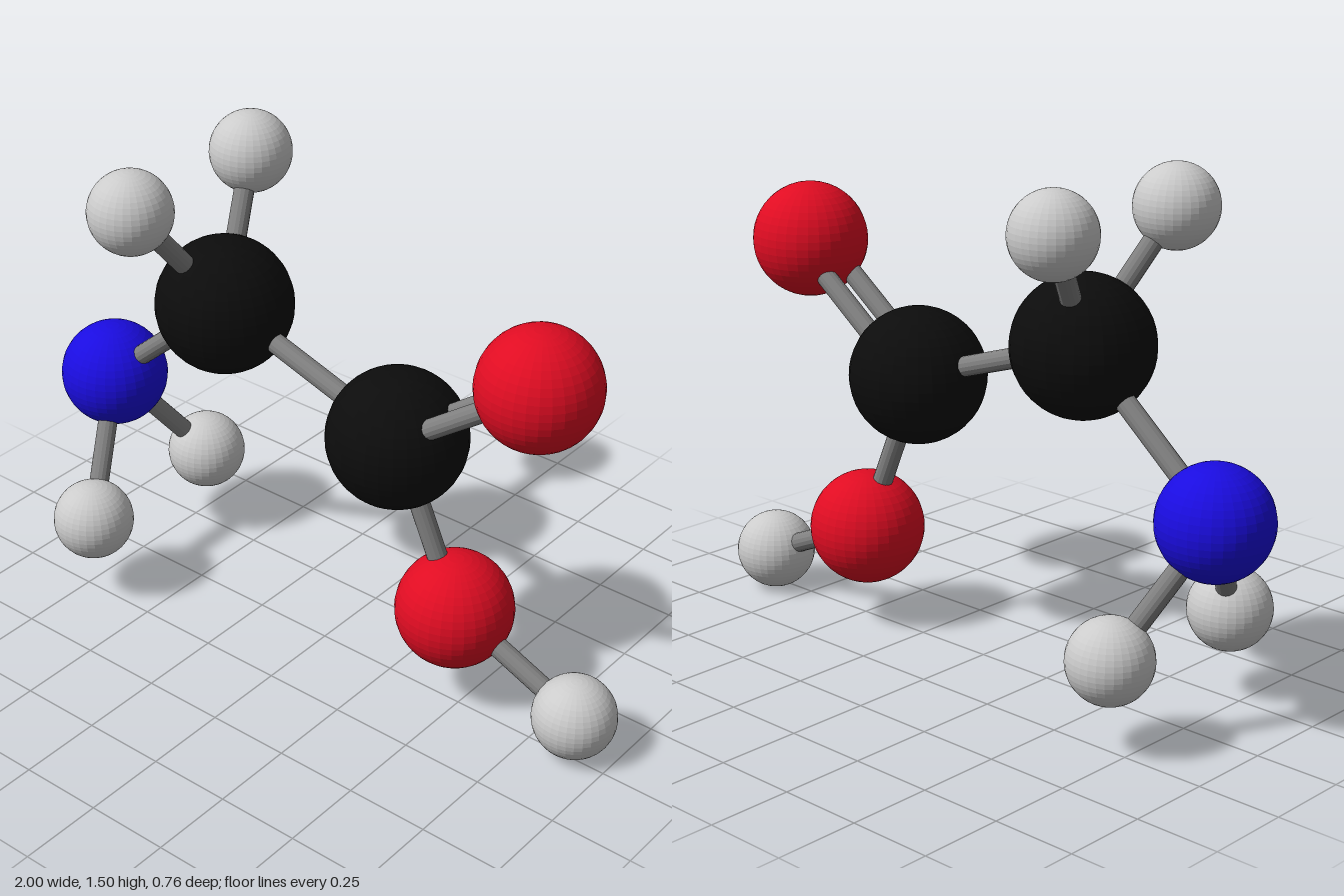
import * as THREE from 'three';

const material = (color) => new THREE.MeshStandardMaterial({ color, flatShading: true });

// Radius and colour of each kind of atom
const KINDS = {
  carbon: { r: 0.203, mat: material(0x0c0c0c) },
  nitrogen: { r: 0.163, mat: material(0x1a0ce0) },
  oxygen: { r: 0.173, mat: material(0xe00c22) },
  hydrogen: { r: 0.122, mat: material(0xcccccc) },
};
const bondMaterial = material(0x808080);

// name: [kind, x, y, z]
const ATOMS = {
  amineCarbon: ['carbon', -0.376, 1.013, -0.005],
  acidCarbon: ['carbon', 0.256, 0.81, -0.005],
  amineNitrogen: ['nitrogen', -0.838, 0.618, -0.003],
  doubleOxygen: ['oxygen', 0.719, 1.146, 0.004],
  hydroxylOxygen: ['oxygen', 0.454, 0.302, -0.03],
  hydroxylHydrogen: ['hydrogen', 0.876, 0.123, -0.03],
  carbonHydrogenFront: ['hydrogen', -0.478, 1.374, 0.258],
  carbonHydrogenBack: ['hydrogen', -0.486, 1.374, -0.256],
  nitrogenHydrogenFront: ['hydrogen', -0.701, 0.266, 0.258],
  nitrogenHydrogenBack: ['hydrogen', -0.701, 0.266, -0.259],
};

// Pairs of joined atoms; the last value is the number of rods
const BONDS = [
  ['amineCarbon', 'acidCarbon', 1],
  ['amineCarbon', 'amineNitrogen', 1],
  ['amineCarbon', 'carbonHydrogenFront', 1],
  ['amineCarbon', 'carbonHydrogenBack', 1],
  ['amineNitrogen', 'nitrogenHydrogenFront', 1],
  ['amineNitrogen', 'nitrogenHydrogenBack', 1],
  ['acidCarbon', 'doubleOxygen', 2],
  ['acidCarbon', 'hydroxylOxygen', 1],
  ['hydroxylOxygen', 'hydroxylHydrogen', 1],
];

const UP = new THREE.Vector3(0, 1, 0);
const BOND_RADIUS = 0.03;
const DOUBLE_OFFSET = 0.051;

const position = (name) => new THREE.Vector3(...ATOMS[name].slice(1));

// Rod running from a to b
function rod(a, b, name) {
  const dir = b.clone().sub(a);
  const mesh = new THREE.Mesh(
    new THREE.CylinderGeometry(BOND_RADIUS, BOND_RADIUS, dir.length(), 16), bondMaterial);
  mesh.position.copy(a).lerp(b, 0.5);
  mesh.quaternion.setFromUnitVectors(UP, dir.normalize());
  mesh.name = name;
  return mesh;
}

export function createModel() {
  const model = new THREE.Group();
  model.name = 'molecule';

  // Atoms
  for (const [name, [kind]] of Object.entries(ATOMS)) {
    const { r, mat } = KINDS[kind];
    const atom = new THREE.Mesh(new THREE.SphereGeometry(r, 32, 24), mat);
    atom.position.copy(position(name));
    atom.name = name;
    model.add(atom);
  }

  // Bonds; double bonds are two rods side by side in z
  for (const [from, to, count] of BONDS) {
    for (let i = 0; i < count; i++) {
      const shift = new THREE.Vector3(0, 0, (2 * i - count + 1) * DOUBLE_OFFSET);
      model.add(rod(position(from).add(shift), position(to).add(shift), 'bond'));
    }
  }
  return model;
}
